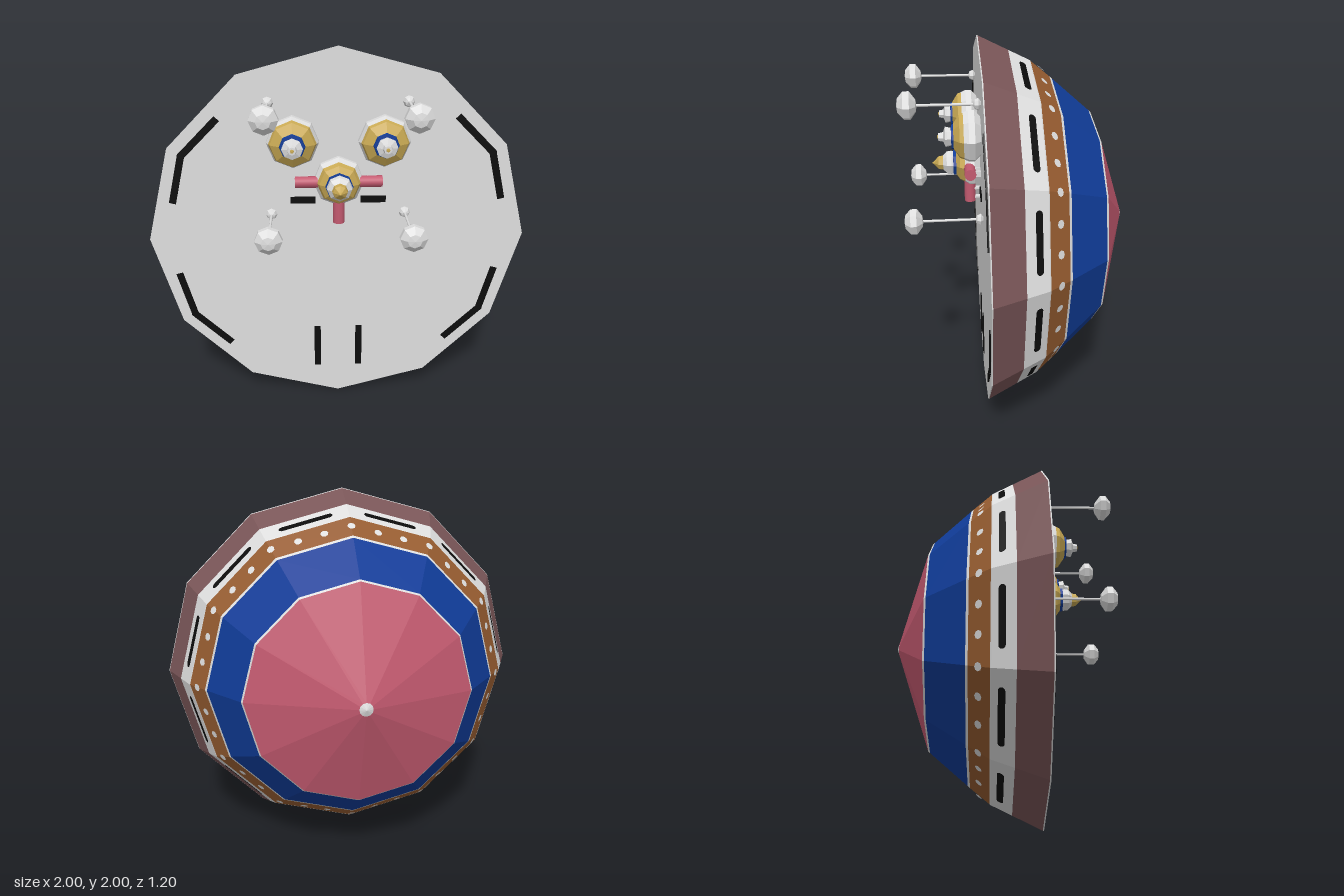
import * as THREE from 'three';

const mat = (name, color) => {
  const m = new THREE.MeshStandardMaterial({ color });
  m.name = name;
  return m;
};

export function createModel() {
  const model = new THREE.Group();
  model.name = 'capsule';
  const white = mat('white', 0xdedede), maroon = mat('maroon', 0x7a5658), brown = mat('brown', 0x965c30),
    blue = mat('blue', 0x103c98), pink = mat('pink', 0xc45a70), gold = mat('gold', 0xcaaa54), black = mat('black', 0x0c0c0c);

  const add = (parent, name, geo, material, x = 0, y = 0, z = 0) => {
    const m = new THREE.Mesh(geo, material);
    m.name = name;
    m.position.set(x, y, z);
    parent.add(m);
    return m;
  };
  // Faceted solid of revolution about z, from [radius, z] points with z rising
  const turned = (points, sides) => {
    const g = new THREE.LatheGeometry(points.map(([r, z]) => new THREE.Vector2(r, z)), sides)
      .rotateX(Math.PI / 2).toNonIndexed();
    g.computeVertexNormals();
    return g;
  };

  // Twelve-sided hull, centred on the line y = 1
  const hull = new THREE.Group();
  hull.name = 'hull';
  hull.position.y = 1;
  model.add(hull);
  const profile = [[0, -0.6], [0.59, -0.4], [0.78, -0.18], [0.87, -0.07], [1, 0.2]];
  const segment = z => {
    const i = Math.max(1, profile.findIndex(p => p[1] >= z - 1e-6));
    return [profile[i - 1], profile[i]];
  };
  const radius = z => {
    const [a, b] = segment(z);
    return a[0] + (b[0] - a[0]) * (z - a[1]) / (b[1] - a[1]);
  };
  [['noseTip', -0.6, -0.588, white], ['noseCone', -0.588, -0.4, pink], ['noseTrim', -0.4, -0.39, white],
    ['blueBand', -0.39, -0.188, blue], ['blueTrim', -0.188, -0.176, white], ['dottedBand', -0.176, -0.075, brown],
    ['windowBand', -0.075, 0.04, white], ['baseBand', 0.04, 0.194, maroon], ['rim', 0.194, 0.2, white]]
    .forEach(([name, z0, z1, m]) => {
      const inner = profile.filter(p => p[1] > z0 + 1e-3 && p[1] < z1 - 1e-3);
      add(hull, name, turned([[radius(z0), z0], ...inner, [radius(z1), z1]], 12), m);
    });
  add(hull, 'basePlate', new THREE.CircleGeometry(1, 12), white, 0, 0, 0.2);

  // Sets a flat mark on the hull skin at an angle (degrees) and depth
  const c15 = Math.cos(Math.PI / 12);
  const place = (mesh, deg, z) => {
    const corner = deg % 30 === 0;
    const faceDeg = corner ? deg : Math.floor(deg / 30) * 30 + 15;
    const a = deg * Math.PI / 180, f = faceDeg * Math.PI / 180;
    const k = corner ? 1 : c15;
    const r = radius(z) * k / Math.cos(a - f);
    const [p, q] = segment(z);
    const slope = (q[0] - p[0]) / (q[1] - p[1]) * k;
    const n = new THREE.Vector3(Math.cos(f), Math.sin(f), -slope).normalize();
    const t = new THREE.Vector3(-Math.sin(f), Math.cos(f), 0);
    const up = new THREE.Vector3().crossVectors(n, t);
    mesh.quaternion.setFromRotationMatrix(new THREE.Matrix4().makeBasis(t, up, n));
    mesh.position.set(r * Math.cos(a), r * Math.sin(a), z).addScaledVector(n, 0.004);
  };
  // Rounded slot windows, one per facet
  const slot = new THREE.Shape();
  slot.absarc(0.127, 0, 0.018, -Math.PI / 2, Math.PI / 2);
  slot.absarc(-0.127, 0, 0.018, Math.PI / 2, Math.PI * 1.5);
  const slotGeo = new THREE.ShapeGeometry(slot, 4);
  for (let i = 0; i < 12; i++) place(add(hull, 'slotWindow', slotGeo, black), i * 30 + 15, -0.022);
  // Dots round the brown band
  const dotGeo = new THREE.CircleGeometry(0.021, 8);
  for (let i = 0; i < 36; i++) place(add(hull, 'bandDot', dotGeo, white), i * 10, -0.127);

  // Black strips on the base plate
  const strip = (x0, y0, x1, y1) => {
    const len = Math.hypot(x1 - x0, y1 - y0);
    const m = add(model, 'baseStrip', new THREE.BoxGeometry(len, 0.036, 0.008), black,
      (x0 + x1) / 2, (y0 + y1) / 2, 0.203);
    m.rotation.z = Math.atan2(y1 - y0, x1 - x0);
  };
  for (const s of [-1, 1]) {
    for (const v of [-1, 1]) {
      strip(s * 0.605, 1 + v * 0.65, s * 0.805, 1 + v * 0.452);
      strip(s * 0.796, 1 + v * 0.465, s * 0.862, 1 + v * 0.205);
    }
    strip(s * 0.117, 0.18, s * 0.117, 0.44);
    strip(s * 0.118, 1.212, s * 0.25, 1.212);
  }

  // Eight-sided thrusters
  const thruster = (name, x, y, parts) => {
    const g = new THREE.Group();
    g.name = name;
    g.position.set(x, y, 0.2);
    model.add(g);
    parts.forEach(([part, m, pts]) => add(g, part, turned(pts, 8), m));
    return g;
  };
  for (const s of [-1, 1]) {
    thruster('sideThruster', s * 0.23, 1.54, [
      ['body', white, [[0.1, 0], [0.132, 0.03], [0.132, 0.06], [0.12, 0.085]]],
      ['goldCollar', gold, [[0.12, 0.085], [0.112, 0.105], [0.065, 0.135]]],
      ['blueRing', blue, [[0.065, 0.135], [0.062, 0.145], [0.04, 0.147]]],
      ['nozzle', white, [[0.045, 0.14], [0.05, 0.165], [0.053, 0.175], [0.025, 0.185], [0.02, 0.21], [0, 0.211]]],
      ['tip', gold, [[0.01, 0.21], [0.009, 0.214], [0, 0.215]]],
    ]);
  }
  const centre = thruster('centreThruster', 0, 1.33, [
    ['body', white, [[0.1, 0], [0.13, 0.03], [0.13, 0.055], [0.112, 0.08]]],
    ['goldCollar', gold, [[0.112, 0.08], [0.1, 0.105], [0.07, 0.125]]],
    ['blueRing', blue, [[0.07, 0.125], [0.07, 0.14], [0.05, 0.142]]],
    ['nozzle', white, [[0.06, 0.135], [0.066, 0.15], [0.062, 0.175], [0.04, 0.195]]],
    ['goldTip', gold, [[0.04, 0.195], [0.036, 0.22], [0.012, 0.24], [0, 0.255]]],
  ]);
  // Three pink side jets, each on a pair of small feet
  for (const a of [0, Math.PI, -Math.PI / 2]) {
    const jet = new THREE.Group();
    jet.name = 'sideJet';
    jet.rotation.z = a;
    centre.add(jet);
    add(jet, 'jetTube', new THREE.CylinderGeometry(0.03, 0.03, 0.13, 12).rotateZ(Math.PI / 2), pink, 0.158, 0, 0.055);
    for (const x of [0.15, 0.2]) add(jet, 'jetFoot', new THREE.BoxGeometry(0.01, 0.03, 0.03), white, x, 0, 0.015);
  }

  // Four antennas with faceted bulbs
  const bulb = turned([[0, 0.3], [0.03, 0.305], [0.068, 0.332], [0.068, 0.362], [0.035, 0.39], [0, 0.395]], 8);
  const foot = turned([[0.014, 0], [0.03, 0.012], [0.022, 0.03], [0, 0.04]], 8);
  const rod = new THREE.CylinderGeometry(0.007, 0.007, 0.31, 8).rotateX(Math.PI / 2);
  for (const x of [-0.35, 0.35]) for (const y of [1.14, 1.73]) {
    const g = new THREE.Group();
    g.name = 'antenna';
    g.position.set(x, y, 0.2);
    model.add(g);
    add(g, 'antennaBulb', bulb, white);
    add(g, 'antennaFoot', foot, white);
    add(g, 'antennaRod', rod, white, 0, 0, 0.155);
  }
  return model;
}
